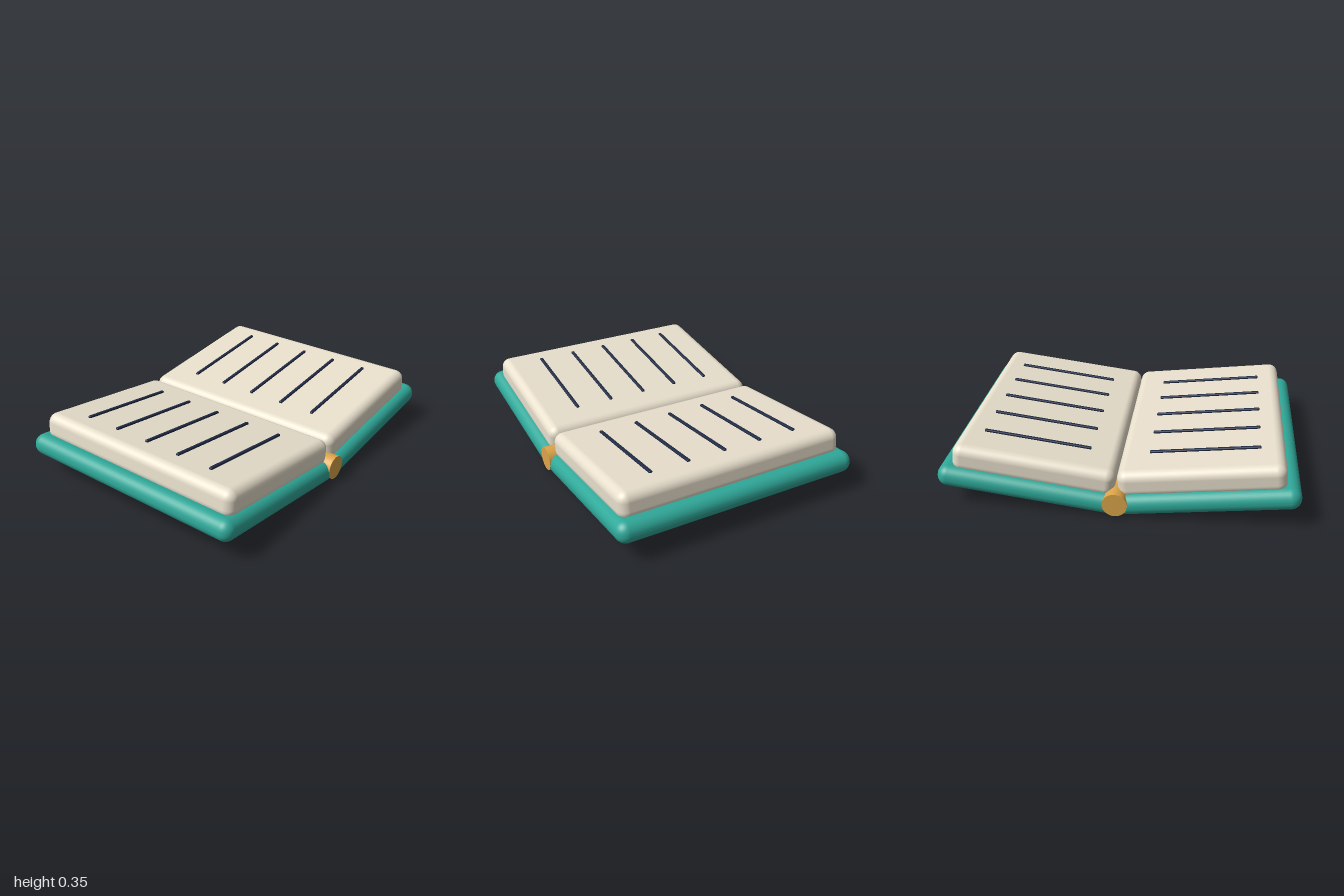
import * as THREE from 'three';
import { RoundedBoxGeometry } from 'three/addons/geometries/RoundedBoxGeometry.js';

const TILT = 0.123;

const paint = (color) => new THREE.MeshStandardMaterial({ color });
const teal = paint(0x2fa899);
const cream = paint(0xe8dfcc);
const gold = paint(0xdca54a);
const navy = paint(0x1f2a44);

function slab(name, size, radius, material, position) {
  const mesh = new THREE.Mesh(new RoundedBoxGeometry(...size, 5, radius), material);
  mesh.name = name;
  mesh.position.set(...position);
  return mesh;
}

export function createModel() {
  const book = new THREE.Group();
  book.name = 'openBook';

  // each half: cover, page block and ruled lines, all tilted up from the spine
  for (const [side, s] of [['left', 1], ['right', -1]]) {
    const half = new THREE.Group();
    half.name = side + 'Half';
    half.add(slab(side + 'Cover', [1.0, 0.125, 1.45], 0.06, teal, [s * 0.5, 0.117, 0]));
    half.add(slab(side + 'Pages', [0.915, 0.16, 1.36], 0.055, cream, [s * 0.46, 0.222, 0]));
    for (let i = 0; i < 5; i++) {
      half.add(slab(side + 'Line' + (i + 1), [0.615, 0.014, 0.02], 0.006, navy,
        [s * 0.47, 0.309, -0.455 + i * 0.2235]));
    }
    half.children.forEach((mesh) => { mesh.rotation.z = s * TILT; });
    book.add(half);
  }

  // round spine
  const spine = new THREE.Mesh(new THREE.CylinderGeometry(0.07, 0.07, 1.45, 28), gold);
  spine.name = 'spine';
  spine.rotation.x = Math.PI / 2;
  spine.position.y = 0.08;
  book.add(spine);

  return book;
}
